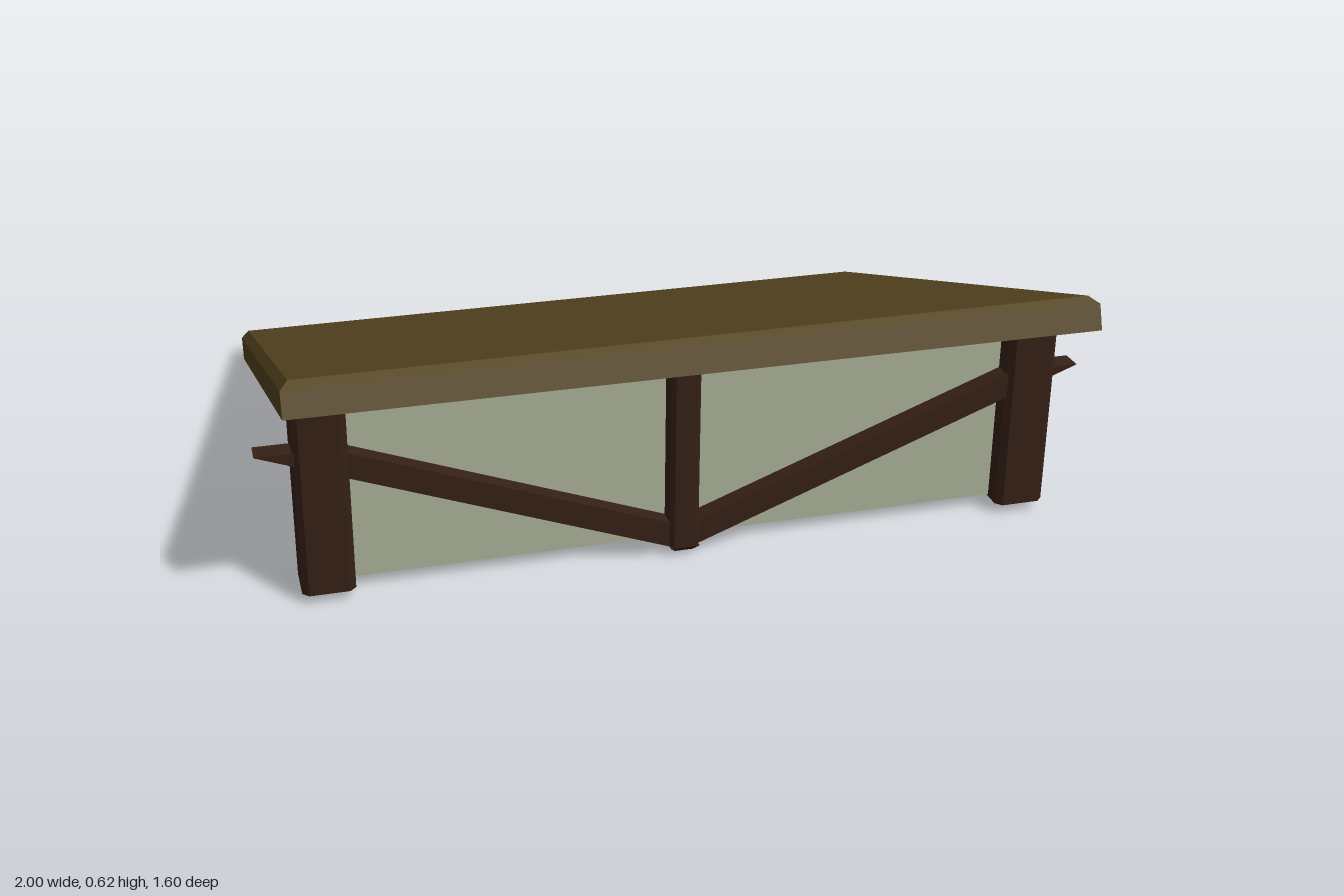
import * as THREE from 'three';

const material = (color) => new THREE.MeshStandardMaterial({ color, flatShading: true });
const CX = 0.012; // centre line of roof, walls and corner posts

function polygon(points) {
  return new THREE.Shape(points.map(([x, y]) => new THREE.Vector2(x, y)));
}

// Rectangle with cut corners, used as the section of the posts
function chamferedRect(w, d, c) {
  const x = w / 2, y = d / 2;
  return polygon([[-x + c, -y], [x - c, -y], [x, -y + c], [x, y - c],
    [x - c, y], [-x + c, y], [-x, y - c], [-x, -y + c]]);
}

export function createModel() {
  const group = new THREE.Group();
  const roofMat = material(0x55451f);
  const wallMat = material(0xa8af95);
  const woodMat = material(0x352016);

  const add = (name, geometry, mat) => {
    const mesh = new THREE.Mesh(geometry, mat);
    mesh.name = name;
    group.add(mesh);
    return mesh;
  };

  // Sloping roof slab, its upper edges bevelled all round
  const width = 1.91, length = 1.668, thick = 0.083, bevel = 0.02;
  const slab = new THREE.BoxGeometry(width, thick, length, 1, 2, 1);
  const pos = slab.attributes.position;
  for (let i = 0; i < pos.count; i++) {
    const y = pos.getY(i);
    if (y > 0.01) {
      pos.setX(i, Math.sign(pos.getX(i)) * (width / 2 - bevel));
      pos.setZ(i, Math.sign(pos.getZ(i)) * (length / 2 - bevel));
    }
    pos.setY(i, Math.abs(y) < 0.01 ? thick - bevel : y + thick / 2);
  }
  slab.computeVertexNormals();
  const roof = add('roof', slab, roofMat);
  roof.rotation.x = -Math.atan(0.349);
  roof.position.set(CX + 0.003, 0.275, 0.0125);

  // Closed wedge of walls below the roof
  const wallWidth = 1.75;
  const walls = new THREE.ExtrudeGeometry(
    polygon([[-0.7, 0.03], [0.6, 0.03], [0.6, 0.49]]),
    { depth: wallWidth, bevelEnabled: false });
  walls.rotateY(-Math.PI / 2);
  walls.translate(CX + wallWidth / 2, 0, 0);
  add('walls', walls, wallMat);

  // Upright posts, extruded upwards from their section
  const post = (name, x, z, w, d, c, y0, y1) => {
    const g = new THREE.ExtrudeGeometry(chamferedRect(w, d, c),
      { depth: y1 - y0, bevelEnabled: false });
    g.rotateX(-Math.PI / 2);
    g.translate(x, y0, z);
    add(name, g, woodMat);
  };
  for (const side of [-1, 1]) {
    post(side > 0 ? 'leftPost' : 'rightPost', CX + side * 0.865, 0.593, 0.125, 0.125, 0.015, 0.025, 0.51);
  }
  post('centrePost', 0, 0.622, 0.072, 0.066, 0.01, 0.025, 0.51);

  // Tapered foot below the centre post
  const foot = new THREE.CylinderGeometry(0.036 * Math.SQRT2, 0.022 * Math.SQRT2, 0.015, 4);
  foot.rotateY(Math.PI / 4);
  foot.translate(0, 0.0185, 0.622);
  add('centreFoot', foot, woodMat);

  // Diagonal braces, running through the corner posts to level-cut tips
  for (const side of [-1, 1]) {
    const points = [[0, 0.015], [0.02, 0.02], [1, 0.39], [0.83, 0.39], [0, 0.078]]
      .map(([x, y]) => [x * side, y]);
    if (side < 0) points.reverse();
    const g = new THREE.ExtrudeGeometry(polygon(points), { depth: 0.055, bevelEnabled: false });
    g.translate(0, 0, 0.59);
    add(side > 0 ? 'leftBrace' : 'rightBrace', g, woodMat);
  }
  return group;
}
